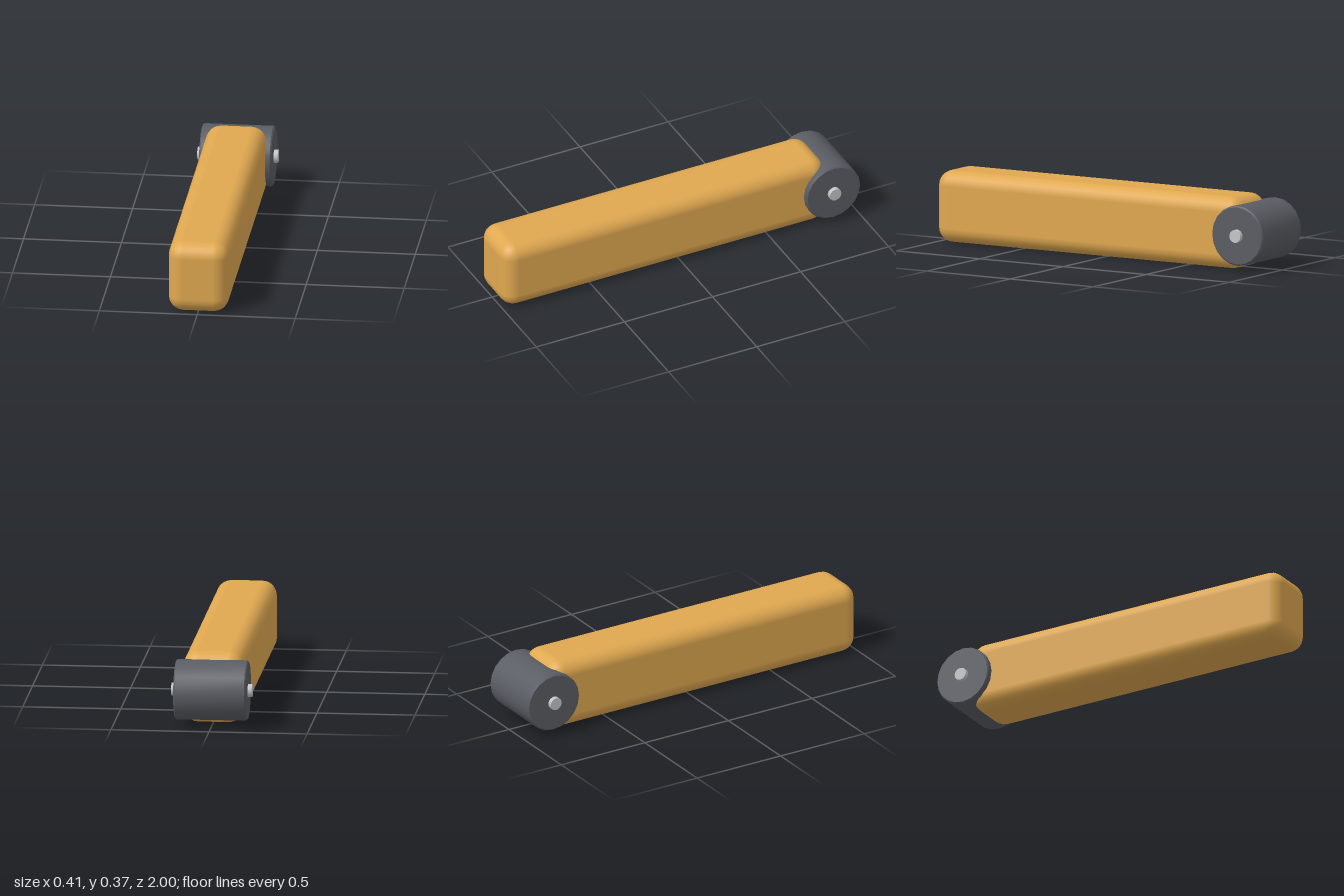
import * as THREE from 'three';
import { RoundedBoxGeometry } from 'three/addons/geometries/RoundedBoxGeometry.js';
import { toCreasedNormals } from 'three/addons/utils/BufferGeometryUtils.js';

function material(name, color) {
  const m = new THREE.MeshStandardMaterial({ color });
  m.name = name;
  return m;
}

// Solid cylinder along x with a small chamfer on both rims
function chamferedRod(radius, halfLength, chamfer, sides) {
  const profile = [
    [0, -halfLength], [radius - chamfer, -halfLength], [radius, -halfLength + chamfer],
    [radius, halfLength - chamfer], [radius - chamfer, halfLength], [0, halfLength],
  ].map(([x, y]) => new THREE.Vector2(x, y));
  const geometry = toCreasedNormals(new THREE.LatheGeometry(profile, sides), 0.6);
  return geometry.rotateZ(-Math.PI / 2);
}

export function createModel() {
  const amber = material('amber', 0xe0a850);
  const darkGrey = material('darkGrey', 0x5a5d64);
  const steel = material('steel', 0xc4c6c8);
  const model = new THREE.Group();
  model.name = 'hingedArm';

  function add(name, geometry, mat, y, z) {
    const mesh = new THREE.Mesh(geometry, mat);
    mesh.name = name;
    mesh.position.set(0, y, z);
    model.add(mesh);
  }

  // Long rounded arm
  add('arm', new RoundedBoxGeometry(0.308, 0.369, 1.83, 3, 0.077), amber, 0.1855, 0.085);

  // Hinge barrel across the back end, with the pin running through it
  add('hingeBarrel', chamferedRod(0.154, 0.184, 0.007, 20), darkGrey, 0.186, -0.846);
  add('hingePin', chamferedRod(0.034, 0.206, 0.001, 12), steel, 0.186, -0.846);

  return model;
}
